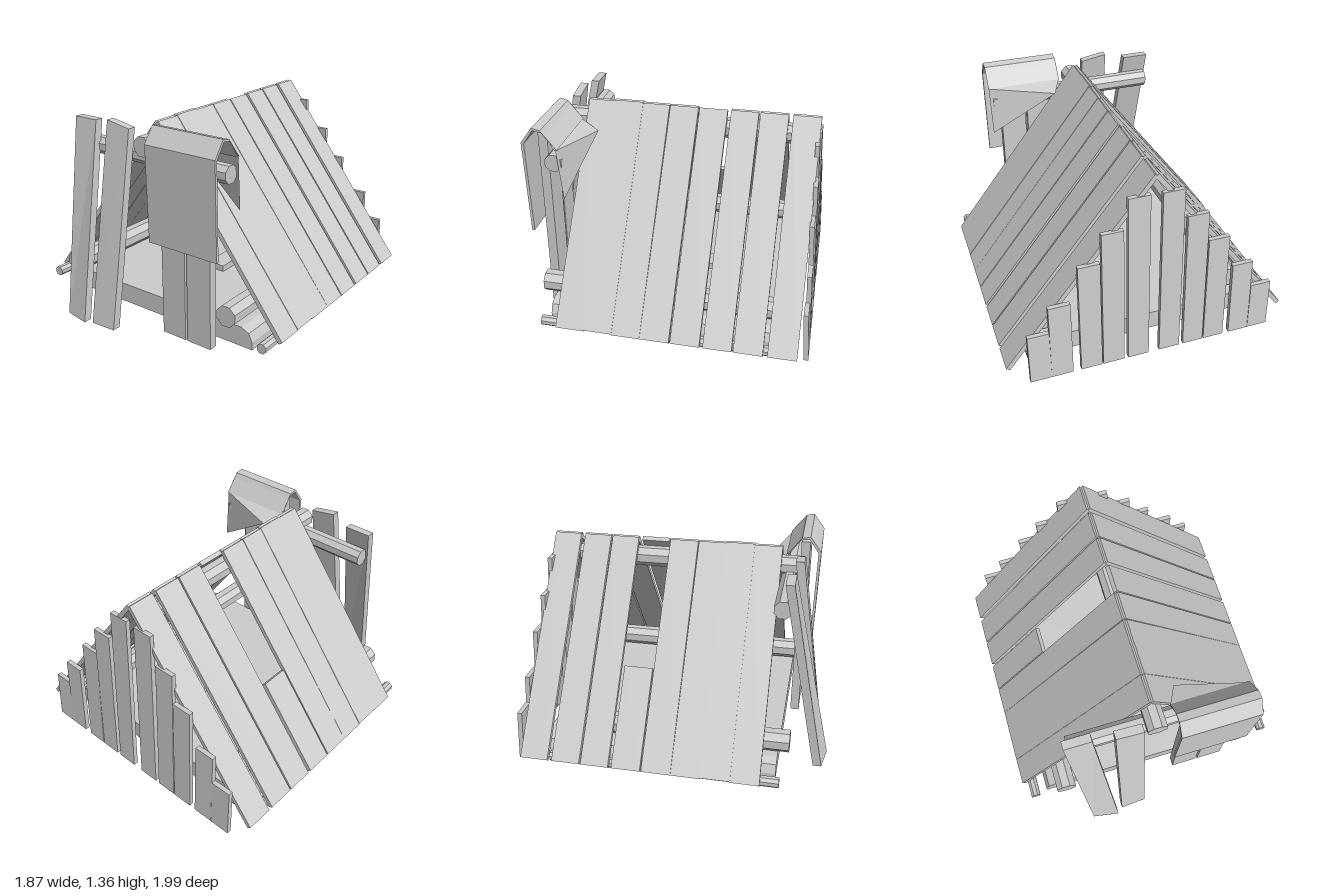
import * as THREE from 'three';

const weatheredGrey = new THREE.MeshStandardMaterial({ color: 0xcccccc, flatShading: true, side: THREE.DoubleSide });
weatheredGrey.name = 'weatheredGrey';

export function createModel() {
  const model = new THREE.Group();
  model.name = 'leanToShelter';

  const add = (name, geometry, parent = model) => {
    const mesh = new THREE.Mesh(geometry, weatheredGrey);
    mesh.name = name;
    parent.add(mesh);
    return mesh;
  };
  const group = (name) => {
    const g = new THREE.Group();
    g.name = name;
    model.add(g);
    return g;
  };

  // Upright board sheared between a bottom and a top centre, with level or slanted ends
  const board = (bottom, top, width, depth, { slant = 0, twist = 0 } = {}) => {
    const geo = new THREE.BoxGeometry(width, 1, depth);
    const p = geo.attributes.position;
    for (let i = 0; i < p.count; i++) {
      const k = p.getY(i) + 0.5, lx = p.getX(i), lz = p.getZ(i);
      const at = (a) => THREE.MathUtils.lerp(bottom[a], top[a], k);
      p.setXYZ(i, lx + at(0), at(1) + lx * slant * k, lz + at(2) + lx * twist * (1 - k));
    }
    geo.computeVertexNormals();
    return geo;
  };

  // Eight-sided pole along z or x with a flat facet on top
  const pole = (name, axis, radius, from, to, a, b) => {
    const geo = new THREE.CylinderGeometry(radius, radius, to - from, 8);
    geo.rotateY(Math.PI / 8);
    const mid = (from + to) / 2;
    if (axis === 'z') geo.rotateX(Math.PI / 2).translate(a, b, mid);
    else geo.rotateZ(Math.PI / 2).translate(mid, a, b);
    return add(name, geo);
  };

  // Extrude a [z, y] outline across x
  const acrossX = (points, x0, x1) =>
    new THREE.ExtrudeGeometry(new THREE.Shape(points.map((p) => new THREE.Vector2(...p))),
      { depth: x1 - x0, bevelEnabled: false }).rotateY(-Math.PI / 2).translate(x1, 0, 0);

  // Bedding platform with bevelled upper edges
  const outline = [[-0.78, 0.06], [0.78, 0.06], [0.78, 0.11], [0.755, 0.165], [0.7, 0.19],
    [-0.7, 0.19], [-0.755, 0.165], [-0.78, 0.11]];
  add('bedPlatform', new THREE.ExtrudeGeometry(
    new THREE.Shape(outline.map((p) => new THREE.Vector2(...p))),
    { depth: 1.51, bevelEnabled: false }).translate(0, 0, -0.82));
  add('bedBoard', new THREE.BoxGeometry(0.13, 0.045, 0.5).translate(0.105, 0.21, -0.1));

  // Supporting poles
  pole('ridgePole', 'z', 0.067, -0.75, 0.75, 0, 1.2);
  for (const s of [-1, 1]) {
    pole('sidePole', 'z', 0.072, -0.75, 0.76, s * 0.635, 0.27);
    pole('eavePole', 'z', 0.034, -0.75, 0.72, s * 0.865, 0.115);
  }
  pole('frontCrossPole', 'x', 0.059, -0.55, 0.6, 1.125, 0.663);

  // Roof planks down each slope; one on the -x side has lost its upper half
  const roof = group('roof');
  const spans = [[0.42, 0.605], [0.235, 0.425], [0.055, 0.238], [-0.135, 0.052],
    [-0.328, -0.143], [-0.53, -0.35], [-0.722, -0.54], [-0.93, -0.75]];
  const ridge = new THREE.Vector2(0.012, 1.33), eave = new THREE.Vector2(0.937, 0.125);
  const angle = Math.atan2(eave.y - ridge.y, eave.x - ridge.x);
  const thick = 0.03;
  for (const s of [-1, 1]) {
    spans.forEach(([z0, z1], i) => {
      const broken = s < 0 && i === 4;
      const start = broken ? ridge.clone().lerp(eave, 0.57) : ridge;
      const lift = i === 1 ? 0.006 : 0;
      const plank = add(broken ? 'brokenRoofPlank' : 'roofPlank',
        new THREE.BoxGeometry(start.distanceTo(eave), thick, z1 - z0), roof);
      plank.position.set(
        s * ((start.x + eave.x) / 2 + Math.sin(angle) * thick / 2),
        (start.y + eave.y) / 2 - Math.cos(angle) * thick / 2 + lift, (z0 + z1) / 2);
      plank.rotation.z = s * angle;
      plank.rotation.y = i === 2 ? s * 0.004 : 0;
    });
  }

  // Stepped back wall of leaning planks
  const backWall = group('backWall');
  const wall = [[-0.74, 0.37], [-0.6, 0.56], [-0.42, 0.8], [-0.275, 1.0], [-0.11, 1.2],
    [0.1, 1.2], [0.265, 1.0], [0.41, 0.8], [0.6, 0.56], [0.735, 0.37]];
  wall.forEach(([x, h], i) => {
    const endZ = -0.98 + 0.055 * h / 1.2 + (i % 2) * 0.006;
    add('backPlank', board([x, 0.03, -0.982], [x, h, endZ], 0.138, 0.03), backWall);
  });

  // Boards propped against the front cross pole
  add('leaningBoard', board([-0.415, 0.01, 0.955], [-0.487, 1.3, 0.698], 0.178, 0.055, { twist: 0.17 }));
  add('leaningBoard', board([-0.2, 0.005, 0.93], [-0.177, 1.315, 0.733], 0.177, 0.055, { slant: -0.17, twist: -0.06 }));

  // Upright door boards
  for (const x of [0.25, 0.443]) {
    add('doorBoard', board([x, 0.012, 0.745], [x, 1.31, 0.745], 0.178, 0.06));
  }

  // Cloth draped over the pole, with one back corner blown aside
  add('drapedCloth', acrossX([[0.835, 0.64], [0.85, 1.26], [0.775, 1.362], [0.72, 1.35], [0.635, 1.225],
    [0.622, 1.228], [0.712, 1.335], [0.768, 1.345], [0.832, 1.253], [0.818, 0.64]], 0.115, 0.625));
  const flap = new THREE.BufferGeometry();
  flap.setAttribute('position', new THREE.Float32BufferAttribute(
    [0.115, 1.225, 0.63, 0.625, 1.225, 0.63, 0.62, 0.89, 0.6, 0.18, 1.18, 0.5], 3));
  flap.setIndex([0, 1, 3, 1, 2, 3]);
  flap.computeVertexNormals();
  add('clothFlap', flap);

  return model;
}
